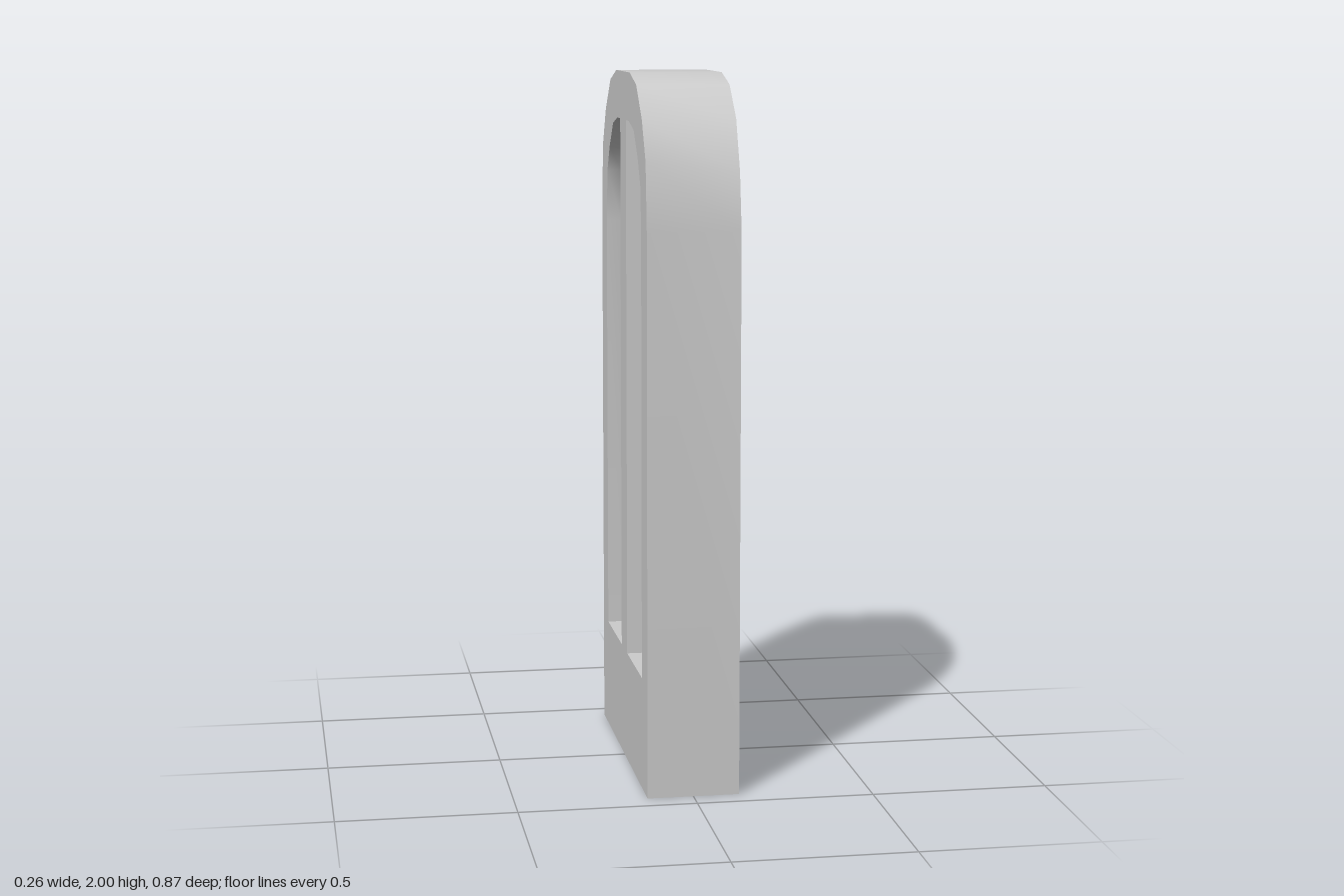
import * as THREE from 'three';
import { toCreasedNormals } from 'three/addons/utils/BufferGeometryUtils.js';

const FRONT = 0.13, BACK = -0.13, FLOOR = 0.087;
const material = new THREE.MeshStandardMaterial({ color: 0xcccccc });

const mirror = pts => pts.map(([x, y]) => [-x, y]).reverse();
const toShape = pts => new THREE.Shape(pts.map(([x, y]) => new THREE.Vector2(x, y)));

// Wall between two matching counterclockwise outlines at depths za and zb
function wall(a, za, b, zb) {
  const n = a.length, pos = [], index = [];
  a.forEach(([x, y]) => pos.push(x, y, za));
  b.forEach(([x, y]) => pos.push(x, y, zb));
  for (let i = 0; i < n; i++) {
    const j = (i + 1) % n;
    index.push(i, j, n + j, i, n + j, n + i);
  }
  const g = new THREE.BufferGeometry();
  g.setAttribute('position', new THREE.Float32BufferAttribute(pos, 3));
  g.setIndex(index);
  return toCreasedNormals(g, Math.PI / 4);
}

export function createModel() {
  const door = new THREE.Group();
  door.name = 'archedDoor';
  const add = (name, geometry) => {
    const mesh = new THREE.Mesh(geometry, material);
    mesh.name = name;
    door.add(mesh);
  };

  // Arched outline; the shoulder point is a little lower on the plain side
  const outline = (sx, sy) => {
    const half = [[0.435, 0], [0.435, 1.58], [sx, sy], [0.35, 1.88], [0.25, 1.97], [0.13, 2]];
    return [...half, ...mirror(half)];
  };
  const panelSide = outline(0.415, 1.77), plainSide = outline(0.408, 1.74);

  // Two recessed panels, mirrored
  const panel = [[0.055, 0.32], [0.338, 0.32], [0.338, 1.55], [0.32, 1.7],
    [0.275, 1.77], [0.2, 1.845], [0.11, 1.865], [0.055, 1.865]];
  const panels = { rightPanel: panel, leftPanel: mirror(panel) };

  // Frame face with the panel openings
  const frame = toShape(panelSide);
  for (const [name, pts] of Object.entries(panels)) {
    frame.holes.push(toShape(pts));
    add(name + 'Reveal', wall(pts, FRONT, pts, FLOOR));
    add(name, new THREE.ShapeGeometry(toShape(pts)).translate(0, 0, FLOOR));
  }
  add('frameFace', new THREE.ShapeGeometry(frame).translate(0, 0, FRONT));

  // Outer edge and plain face
  add('outerEdge', wall(plainSide, BACK, panelSide, FRONT));
  add('plainFace', new THREE.ShapeGeometry(toShape(plainSide)).rotateY(Math.PI).translate(0, 0, BACK));

  // Panelled side faces -x
  door.rotation.y = -Math.PI / 2;
  const model = new THREE.Group();
  model.name = 'door';
  model.add(door);
  return model;
}
